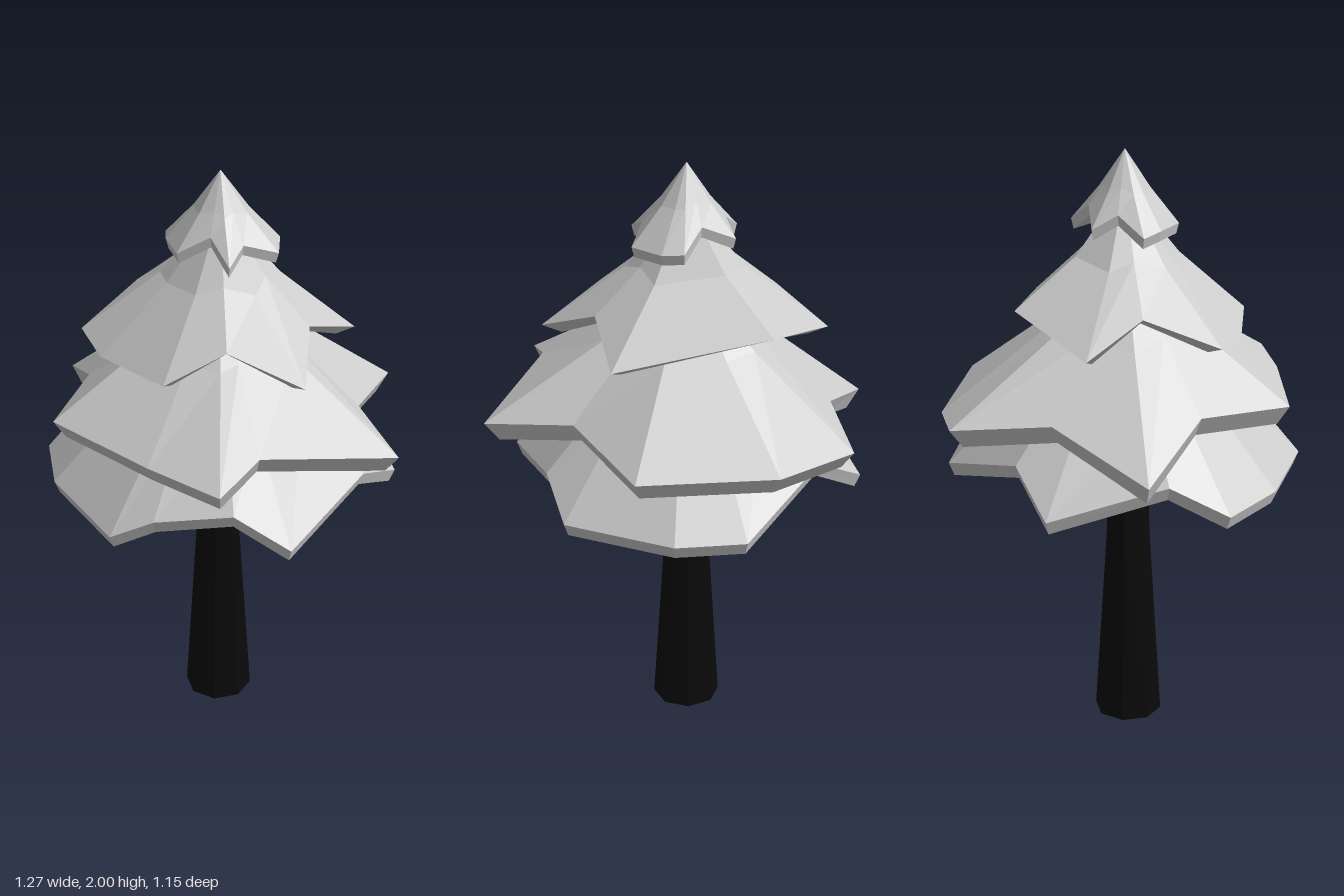
import * as THREE from 'three';

// Skin rings of equal length (first and last are single points) with flat triangles
function skin(rings) {
  const pos = [];
  const n = rings[0].length;
  const last = rings.length - 2;
  for (let k = 0; k <= last; k++) {
    for (let i = 0; i < n; i++) {
      const j = (i + 1) % n;
      const a = rings[k][i], b = rings[k][j], c = rings[k + 1][j], d = rings[k + 1][i];
      if (k > 0) pos.push(...a, ...b, ...c);
      if (k < last) pos.push(...a, ...c, ...d);
    }
  }
  const geo = new THREE.BufferGeometry();
  geo.setAttribute('position', new THREE.Float32BufferAttribute(pos, 3));
  geo.computeVertexNormals();
  return geo;
}

// One tier of branches. The outline holds [x, z, lift] corners, clockwise from above.
// Corners that reach less far than the tips sit higher; lift bends single corners.
function branchTier({ name, top, under, rimY, reach, steep, mid, midDrop, shrink, drop, outline }) {
  const cx = -0.03;
  const radius = (x, z) => Math.hypot(x - cx, z);
  const rim = outline.map(([x, z, lift = 0]) => [
    x, rimY + Math.max(0, reach - radius(x, z)) * steep + lift, z,
  ]);
  const meanR = rim.reduce((s, [x, , z]) => s + radius(x, z), 0) / rim.length;
  const meanY = rim.reduce((s, p) => s + p[1], 0) / rim.length;

  // The middle ring is rounder and more even than the jagged rim
  const midRing = rim.map(([x, y, z]) => {
    const f = mid * (0.5 + 0.5 * meanR / radius(x, z));
    return [cx + (x - cx) * f, top + ((y + meanY) / 2 - top) * midDrop, z * f];
  });
  // The lower edge is tucked in and gives the branches their thickness
  const lower = rim.map(([x, y, z]) => [cx + (x - cx) * shrink, y - drop, z * shrink]);
  const point = (y) => rim.map(() => [cx, y, 0]);
  const mesh = new THREE.Mesh(
    skin([point(top), midRing, rim, lower, point(under)]),
    new THREE.MeshStandardMaterial({ color: 0xcccccc, flatShading: true }),
  );
  mesh.name = name;
  return mesh;
}

// Tapered trunk, narrowing quickly up to mid height and slowly above
function makeTrunk() {
  const profile = [[0, 0], [0.115, 0], [0.075, 0.65], [0.055, 1.25]];
  const geo = new THREE.LatheGeometry(profile.map(([r, y]) => new THREE.Vector2(r, y)), 8);
  const mesh = new THREE.Mesh(geo, new THREE.MeshStandardMaterial({ color: 0x0a0a0a, flatShading: true }));
  mesh.position.set(-0.033, 0, 0.012);
  mesh.name = 'trunk';
  return mesh;
}

export function createModel() {
  const tree = new THREE.Group();
  tree.name = 'tree';
  tree.add(makeTrunk());

  tree.add(branchTier({
    name: 'bottomBranches', top: 1.42, under: 1.18, rimY: 0.945, reach: 0.58, steep: 1.4,
    mid: 0.55, midDrop: 0.42, shrink: 0.97, drop: 0.045,
    outline: [[-0.18, -0.57], [0.05, -0.58], [0.39, -0.41], [0.44, -0.22], [0.54, 0.17], [0.4, 0.29, 0.02],
      [0.22, 0.47], [0.12, 0.57], [-0.25, 0.53], [-0.46, 0.41], [-0.49, 0.22], [-0.6, -0.15], [-0.44, -0.28]],
  }));

  tree.add(branchTier({
    name: 'lowerMiddleBranches', top: 1.66, under: 1.27, rimY: 1.2, reach: 0.6, steep: 0.2,
    mid: 0.45, midDrop: 0.5, shrink: 0.93, drop: 0.065,
    outline: [[-0.52, -0.47], [-0.28, -0.56, -0.035], [0.17, -0.57, -0.035], [0.35, -0.27], [0.635, -0.185],
      [0.44, 0.22, 0.04], [0.47, 0.4], [0.21, 0.48], [-0.19, 0.56, 0.02], [-0.36, 0.3],
      [-0.64, 0.18, -0.1], [-0.49, -0.15]],
  }));

  tree.add(branchTier({
    name: 'upperMiddleBranches', top: 1.88, under: 1.56, rimY: 1.44, reach: 0.46, steep: 0.7,
    mid: 0.45, midDrop: 0.55, shrink: 0.86, drop: 0.025,
    outline: [[-0.28, -0.31, 0.04], [0.23, -0.35, -0.015], [0.27, -0.12], [0.44, 0.04], [0.24, 0.19],
      [0.15, 0.37, -0.035], [-0.15, 0.395, -0.05], [-0.31, 0.355], [-0.335, 0.11], [-0.49, -0.04]],
  }));

  tree.add(branchTier({
    name: 'topBranches', top: 2, under: 1.79, rimY: 1.755, reach: 0.185, steep: 1,
    mid: 0.5, midDrop: 0.55, shrink: 0.95, drop: 0.035,
    outline: [[-0.01, -0.18], [0.06, -0.17], [0.15, -0.09], [0.11, 0.02], [0.14, 0.1], [0.04, 0.095],
      [-0.03, 0.175], [-0.14, 0.135], [-0.2, 0.09], [-0.155, 0], [-0.18, -0.08], [-0.07, -0.11]],
  }));

  return tree;
}
